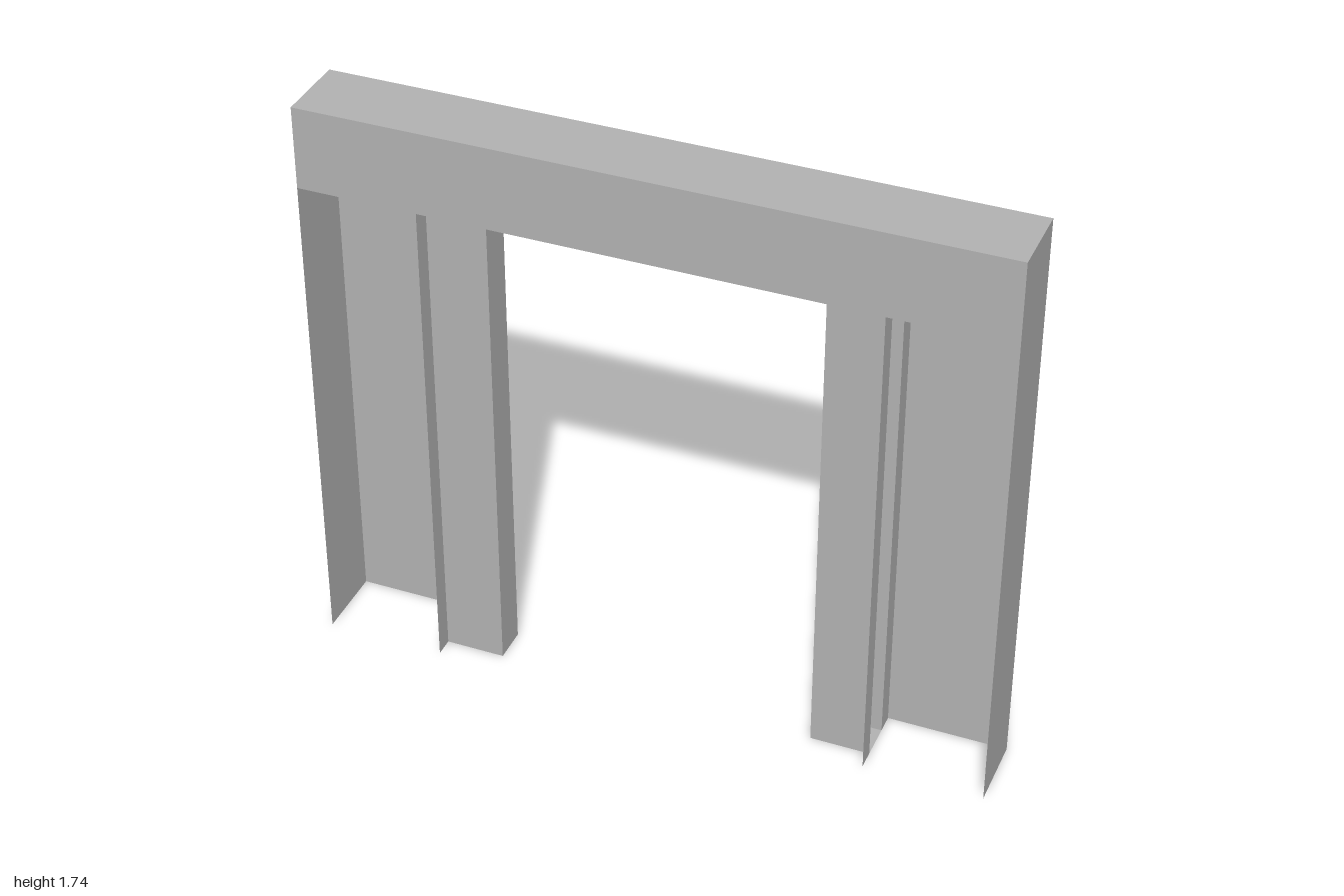
import * as THREE from 'three';

const H = 1.74, OPEN = 1.495;        // total height, underside of the header
const Z = 0.11;                      // half depth
const X_OUT = 1, X_FLANGE = 0.65, X_IN = 0.475, Z_POST = 0.053;

export function createModel() {
  const group = new THREE.Group();
  const grey = new THREE.MeshStandardMaterial({ color: 0xb2b2b2, side: THREE.DoubleSide });
  grey.name = 'grey';

  // upright thin panel between two plan points [x, z]
  function wall(parent, name, [x0, z0], [x1, z1], y0, y1) {
    const geo = new THREE.PlaneGeometry(Math.hypot(x1 - x0, z1 - z0), y1 - y0);
    geo.rotateY(-Math.atan2(z1 - z0, x1 - x0));
    const mesh = new THREE.Mesh(geo, grey);
    mesh.name = name;
    mesh.position.set((x0 + x1) / 2, (y0 + y1) / 2, (z0 + z1) / 2);
    parent.add(mesh);
  }

  // level thin panel; facing is +1 for up, -1 for down
  function slab(parent, name, width, depth, x, y, facing) {
    const geo = new THREE.PlaneGeometry(width, depth);
    geo.rotateX(-facing * Math.PI / 2);
    const mesh = new THREE.Mesh(geo, grey);
    mesh.name = name;
    mesh.position.set(x, y, 0);
    parent.add(mesh);
  }

  // header across the opening
  const header = new THREE.Group();
  header.name = 'header';
  const corners = [[-X_OUT, Z], [X_OUT, Z], [X_OUT, -Z], [-X_OUT, -Z]];
  ['headerFront', 'headerLeftEnd', 'headerBack', 'headerRightEnd'].forEach((name, i) =>
    wall(header, name, corners[i], corners[(i + 1) % 4], OPEN, H));
  slab(header, 'headerTop', 2 * X_OUT, 2 * Z, 0, H, 1);
  slab(header, 'headerUnderside', 2 * X_FLANGE, 2 * Z, 0, OPEN, -1);
  group.add(header);

  // open-fronted jambs, each one folded profile with a boxed stop
  const profile = [
    [X_OUT, Z], [X_OUT, -Z], [X_FLANGE, -Z], [X_FLANGE, -Z_POST],
    [X_IN, -Z_POST], [X_IN, Z_POST], [X_FLANGE, Z_POST], [X_FLANGE, Z],
  ];
  const names = ['outerSide', 'backPanel', 'backFlange', 'stopBack', 'stopInner', 'stopFront', 'frontFlange'];
  for (const side of [1, -1]) {
    const jamb = new THREE.Group();
    jamb.name = side > 0 ? 'leftJamb' : 'rightJamb';
    const pts = profile.map(([x, z]) => [x * side, z]);
    names.forEach((name, i) => {
      // swapping the ends on one side keeps every face turned outward
      const [a, b] = side > 0 ? [pts[i], pts[i + 1]] : [pts[i + 1], pts[i]];
      wall(jamb, name, a, b, 0, OPEN);
    });
    slab(jamb, 'stopBase', X_FLANGE - X_IN, 2 * Z_POST, side * (X_FLANGE + X_IN) / 2, 0, -1);
    group.add(jamb);
  }

  return group;
}
